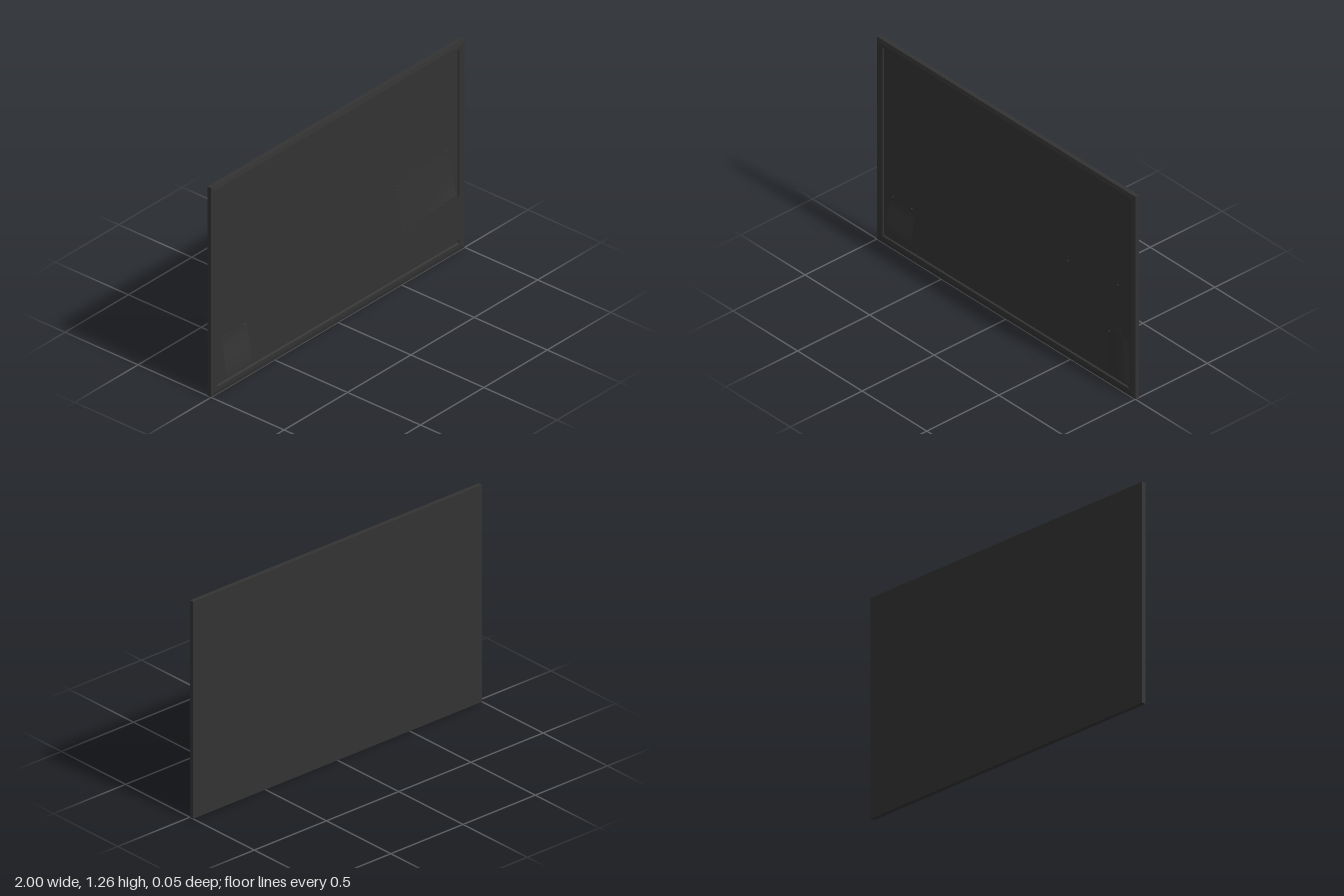
import * as THREE from 'three';

const { smoothstep, lerp } = THREE.MathUtils;
const W = 2, H = 1.26, BACK = -0.025, FACE = -0.005;

const material = new THREE.MeshStandardMaterial({ color: 0x333333 });
const paperMaterial = new THREE.MeshStandardMaterial({ color: 0x333333, side: THREE.DoubleSide });

// Mitred frame: a closed [inset, z] profile swept round the rectangle
function frameGeometry(profile) {
  const positions = [];
  const corner = (k, [inset, z]) => {
    const sx = [-1, 1, 1, -1][k % 4], sy = [-1, -1, 1, 1][k % 4];
    return [sx * (W / 2 - inset), H / 2 + sy * (H / 2 - inset), z];
  };
  for (let i = 0; i < profile.length; i++) {
    const p = profile[i], q = profile[(i + 1) % profile.length];
    for (let k = 0; k < 4; k++) {
      const a = corner(k, p), b = corner(k + 1, p), c = corner(k + 1, q), d = corner(k, q);
      positions.push(...a, ...b, ...c, ...a, ...c, ...d);
    }
  }
  const g = new THREE.BufferGeometry();
  g.setAttribute('position', new THREE.Float32BufferAttribute(positions, 3));
  g.computeVertexNormals();
  return g;
}

// Curled sheet: corners ordered TL, TR, BR, BL; u runs right, v runs down
function sheetGeometry([tl, tr, br, bl], curl) {
  const g = new THREE.PlaneGeometry(1, 1, 20, 12);
  const pos = g.attributes.position;
  for (let i = 0; i < pos.count; i++) {
    const u = pos.getX(i) + 0.5, v = 0.5 - pos.getY(i);
    const at = (n) => lerp(lerp(tl[n], tr[n], u), lerp(bl[n], br[n], u), v);
    pos.setXYZ(i, at(0), at(1), curl(u, v));
  }
  g.computeVertexNormals();
  return g;
}

export function createModel() {
  const group = new THREE.Group();
  const add = (name, geometry, mat = material) => {
    const mesh = new THREE.Mesh(geometry, mat);
    mesh.name = name;
    group.add(mesh);
    return mesh;
  };

  // Bevelled frame and recessed panel
  add('frame', frameGeometry([
    [0, BACK], [0, 0], [0.025, 0.005], [0.046, 0.005], [0.05, FACE], [0.05, BACK],
  ]));
  const panel = add('boardPanel', new THREE.BoxGeometry(W - 0.1, H - 0.1, FACE - BACK));
  panel.position.set(0, H / 2, (FACE + BACK) / 2);

  // Small note whose lower edge curls forward
  add('smallNote', sheetGeometry(
    [[-0.905, 0.33], [-0.71, 0.33], [-0.71, 0.08], [-0.91, 0.08]],
    (u, v) => -0.004 + 0.031 * smoothstep(v, 0, 1)), paperMaterial);

  // Lower sheet bulging forward, with its right edge resting on the frame
  add('lowerSheet', sheetGeometry(
    [[0.58, 0.335], [0.957, 0.345], [0.972, 0.085], [0.575, 0.068]],
    (u) => -0.0035 + 0.0235 * smoothstep(u, 0.4, 0.86) - 0.013 * smoothstep(u, 0.86, 1.05)), paperMaterial);

  // Tilted upper sheet with a lifted lower right corner
  add('upperSheet', sheetGeometry(
    [[0.465, 0.608], [0.875, 0.655], [0.915, 0.363], [0.505, 0.308]],
    (u, v) => -0.003 + 0.004 * v + 0.019 * u * u * v ** 4), paperMaterial);

  // Pins
  const pinGeometry = new THREE.SphereGeometry(0.006, 10, 8);
  for (const [x, y] of [[-0.88, 0.318], [-0.735, 0.318], [0.476, 0.6], [0.862, 0.64], [0.81, 0.335]]) {
    const pin = add('pin', pinGeometry);
    pin.position.set(x, y, x === 0.81 ? 0.012 : -0.002);
    pin.scale.z = 0.7;
  }
  return group;
}
